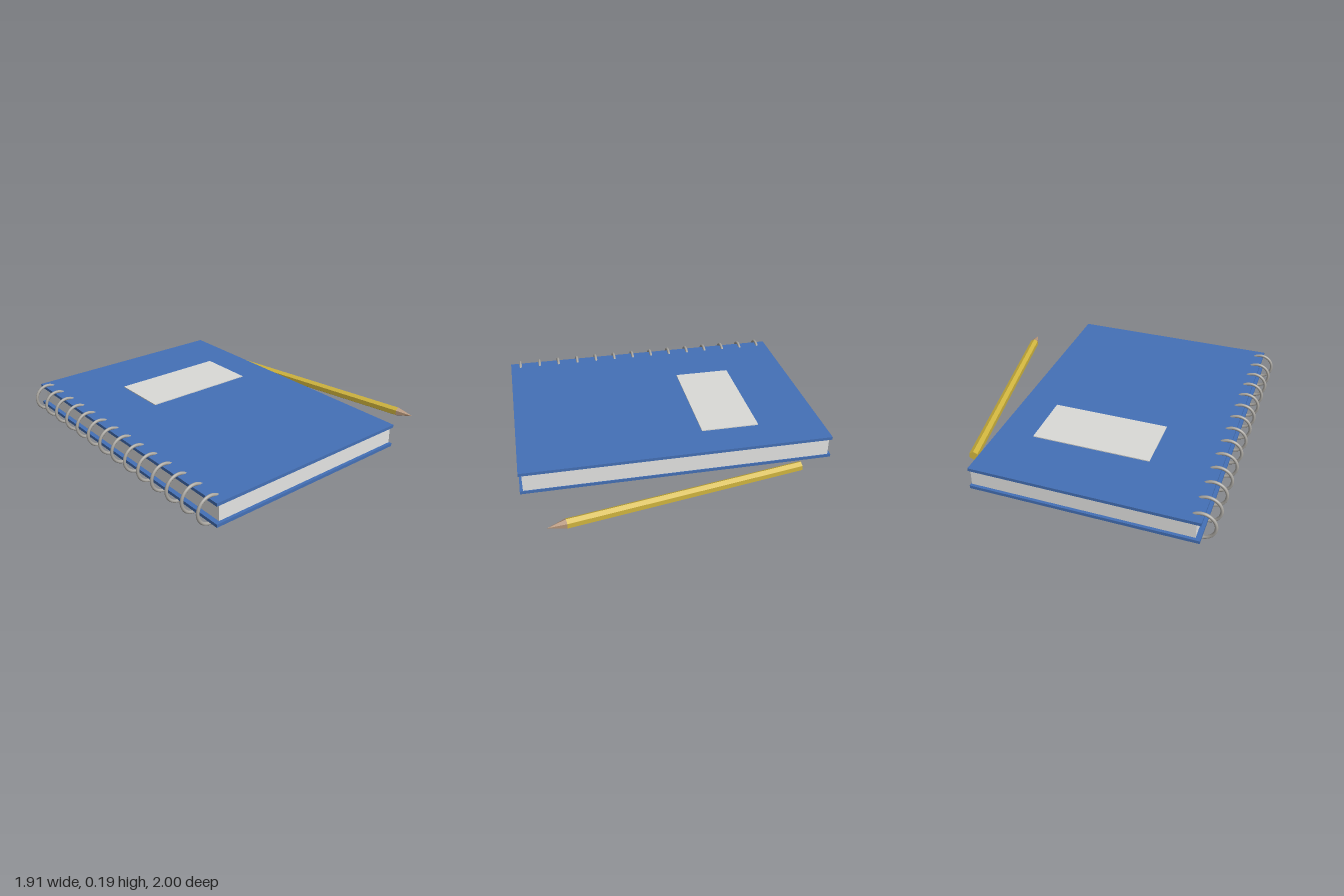
import * as THREE from 'three';

const material = (name, color, flatShading = false) => {
  const m = new THREE.MeshStandardMaterial({ color, flatShading });
  m.name = name;
  return m;
};

export function createModel() {
  const model = new THREE.Group();
  model.name = 'notebookAndPencil';

  const blue = material('coverBlue', 0x4470b6);
  const paper = material('paperWhite', 0xe4e4e3);
  const labelGrey = material('labelGrey', 0xdadad7);
  const metal = material('ringMetal', 0xa9a6a0);
  const yellow = material('pencilYellow', 0xd0b53e, true);
  const wood = material('pencilWood', 0xb5957a, true);

  const add = (parent, name, geometry, mat, x = 0, y = 0, z = 0) => {
    const mesh = new THREE.Mesh(geometry, mat);
    mesh.name = name;
    mesh.position.set(x, y, z);
    parent.add(mesh);
    return mesh;
  };

  // Notebook: two covers around a slightly smaller page block
  const notebook = new THREE.Group();
  notebook.name = 'notebook';
  model.add(notebook);
  const cover = new THREE.BoxGeometry(1.43, 0.02, 2);
  add(notebook, 'backCover', cover, blue, -0.159, 0.029, 0);
  add(notebook, 'frontCover', cover, blue, -0.159, 0.161, 0);
  add(notebook, 'pages', new THREE.BoxGeometry(1.395, 0.112, 1.96), paper, -0.147, 0.095, 0);
  add(notebook, 'label', new THREE.BoxGeometry(0.768, 0.006, 0.382), labelGrey, -0.064, 0.174, -0.384);

  // Binding: a row of wire rings through the left edge
  const binding = new THREE.Group();
  binding.name = 'binding';
  notebook.add(binding);
  const ring = new THREE.TorusGeometry(0.085, 0.01, 10, 40);
  const ringCount = 14;
  for (let i = 0; i < ringCount; i++) {
    const z = -0.93 + (1.86 * i) / (ringCount - 1);
    add(binding, 'ring', ring, metal, -0.862, 0.095, z);
  }

  // Pencil: hexagonal body with a ridge on top and a sharpened tip
  const pencil = new THREE.Group();
  pencil.name = 'pencil';
  pencil.position.set(0.796, 0.057, 0);
  pencil.rotation.y = THREE.MathUtils.degToRad(10);
  model.add(pencil);
  const body = new THREE.CylinderGeometry(0.031, 0.031, 1.524, 6).rotateX(Math.PI / 2);
  add(pencil, 'pencilBody', body, yellow);
  const tip = new THREE.ConeGeometry(0.031, 0.111, 6).rotateX(Math.PI / 2);
  add(pencil, 'pencilTip', tip, wood, 0, 0, 0.8175);

  return model;
}
